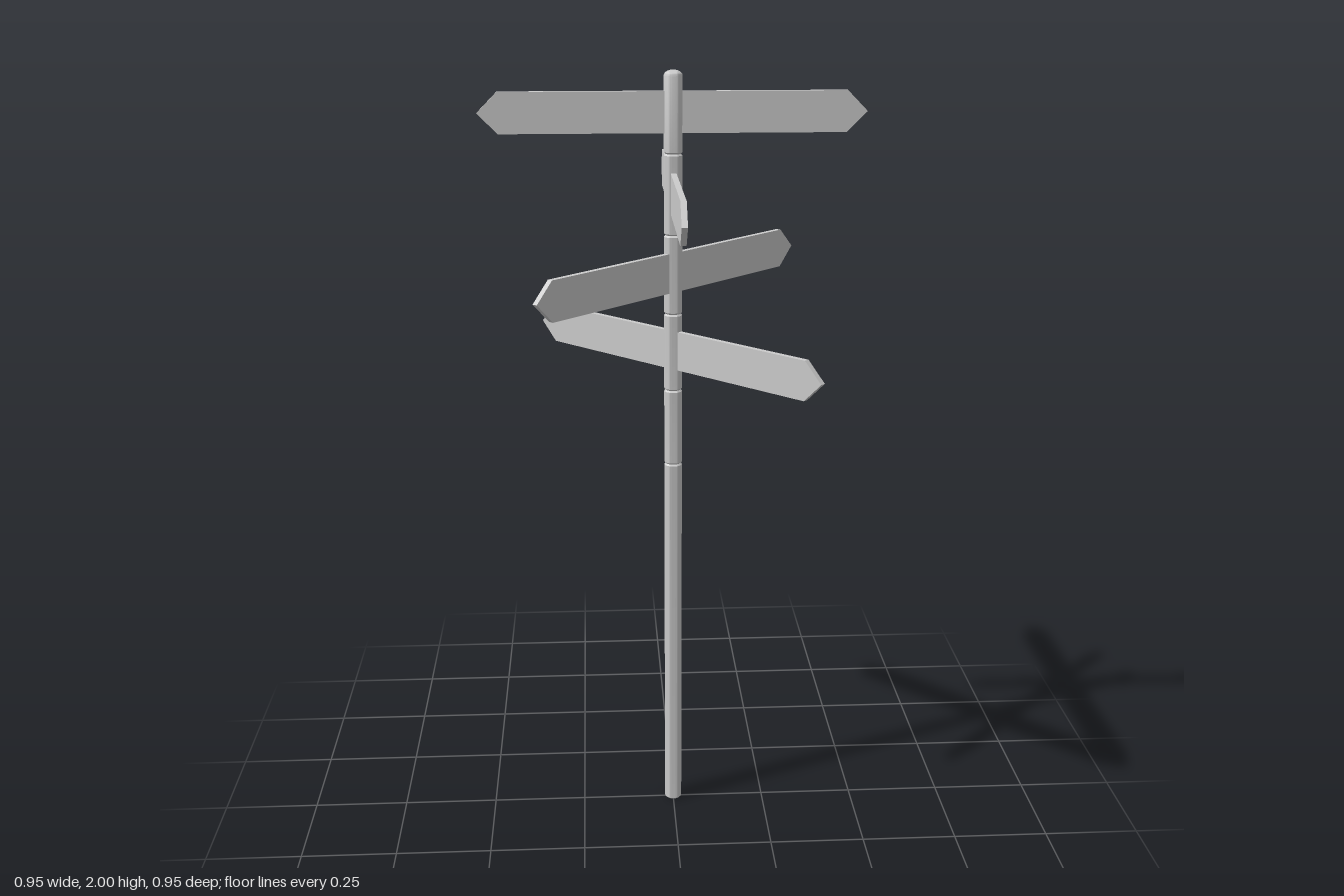
import * as THREE from 'three';
import { toCreasedNormals } from 'three/addons/utils/BufferGeometryUtils.js';

const material = new THREE.MeshStandardMaterial({ color: 0xcccccc });
const R = 0.023; // post radius
const BEVEL = 0.004; // groove at each joint

// One post section with bevelled rims; the top one ends in a rounded cap
function postSection(y0, y1, domed) {
  const points = [[0, y0], [R - BEVEL, y0], [R, y0 + BEVEL]];
  if (domed) {
    const rise = 0.014;
    for (let i = 0; i <= 6; i++) {
      const a = (i / 6) * Math.PI / 2;
      points.push([R * Math.cos(a), y1 - rise + rise * Math.sin(a)]);
    }
  } else {
    points.push([R, y1 - BEVEL], [R - BEVEL, y1], [0, y1]);
  }
  const profile = points.map(([x, y]) => new THREE.Vector2(Math.max(x, 0), y));
  const geometry = toCreasedNormals(new THREE.LatheGeometry(profile, 32), 0.6);
  return new THREE.Mesh(geometry, material);
}

// Thin board pointed at both ends, centred on the post
function signBoard() {
  const half = 0.475, shoulder = 0.425, h = 0.05, thickness = 0.014;
  const shape = new THREE.Shape([
    [-half, 0], [-shoulder, -h], [shoulder, -h],
    [half, 0], [shoulder, h], [-shoulder, h],
  ].map(([x, y]) => new THREE.Vector2(x, y)));
  const geometry = new THREE.ExtrudeGeometry(shape, { depth: thickness, bevelEnabled: false });
  geometry.translate(0, 0, -thickness / 2);
  return geometry;
}

export function createModel() {
  const model = new THREE.Group();
  model.name = 'signpost';

  // Long lower post, then five short sections
  const joints = [0, 1, 1.2, 1.4, 1.6, 1.8, 2];
  for (let i = 0; i < joints.length - 1; i++) {
    const section = postSection(joints[i], joints[i + 1], i === joints.length - 2);
    section.name = i === 0 ? 'lowerPost' : `postSection${i}`;
    model.add(section);
  }

  // Four boards turned to different bearings: height, angle
  const boardGeometry = signBoard();
  [[1.9, 0], [1.705, Math.PI / 2], [1.505, Math.PI / 4], [1.305, -Math.PI / 4]].forEach(([y, angle], i) => {
    const board = new THREE.Mesh(boardGeometry, material);
    board.name = `signBoard${i + 1}`;
    board.position.y = y;
    board.rotation.y = angle;
    model.add(board);
  });

  return model;
}
